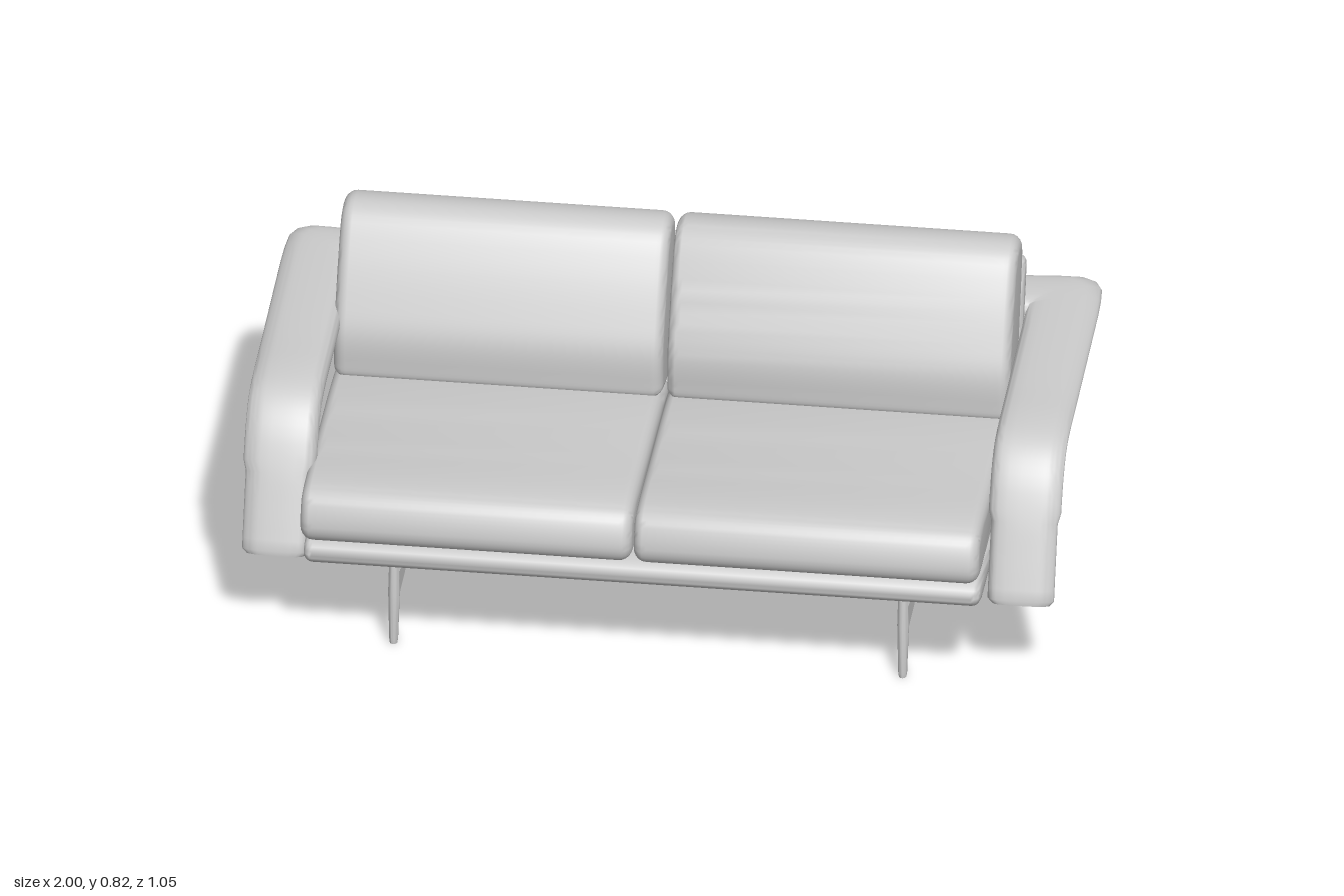
import * as THREE from 'three';
import { mergeVertices, toCreasedNormals } from 'three/addons/utils/BufferGeometryUtils.js';

const V = (x, y, z) => new THREE.Vector3(x, y, z);

// Closed smooth outline through a few points
function outline(points, n) {
  const c = new THREE.CatmullRomCurve3(points.map(([a, b]) => V(a, b, 0)), true, 'centripetal');
  return c.getPoints(n).slice(0, n);
}

// Soft slab: a (z, y) side profile extruded from x0 to x1 with rounded ends
function slab(profile, x0, x1, round) {
  const shape = new THREE.Shape(outline(profile, 64).map(p => new THREE.Vector2(p.x, p.y)));
  let g = new THREE.ExtrudeGeometry(shape, {
    depth: x1 - x0 - 2 * round, bevelEnabled: true, bevelSize: round,
    bevelThickness: round, bevelOffset: -round, bevelSegments: 5,
  });
  g.translate(0, 0, round - (x1 - x0));
  g.rotateY(-Math.PI / 2);
  g.translate(x0, 0, 0);
  g.deleteAttribute('normal');
  g.deleteAttribute('uv');
  return toCreasedNormals(mergeVertices(g, 1e-5), 0.8);
}

// Armrests and back rail: one band swept around the sofa
function bandGeometry() {
  const section = outline([[1, 0.3], [0.8, 0.75], [0.5, 1], [-0.75, 1], [-1, 0.5],
    [-1, -0.5], [-0.75, -1], [0.3, -1], [0.72, -0.55]], 36);
  const half = 0.087, thick = 0.037, inner = 0.826;
  const frames = [];
  const add = (c, o, n, s = 1) => frames.push({ c, o, n, s });

  // arm, from its front tip up and back
  const arm = new THREE.CatmullRomCurve3([[0.25, 0.418], [0.35, 0.378], [0.45, 0.335], [0.52, 0.293],
    [0.56, 0.245], [0.573, 0.185], [0.573, 0], [0.573, -0.36]].map(([y, z]) => V(inner + half, y, z)));
  for (let i = 0; i <= 28; i++) {
    const u = i / 28, t = arm.getTangent(u), c = arm.getPoint(u);
    const o = V(half * (i < 8 ? 0.92 : 1), 0, 0), n = V(0, -t.z, t.y);
    if (i === 0) {
      const tip = c.clone().addScaledVector(t, -0.012);
      add(tip, o, n, 0);
      add(tip, o, n, 0.86);
    }
    add(c, o, n);
  }
  // rounded back corner, fanned about the inner corner
  for (const [deg, len] of [[22, 0.093], [36, 0.104], [45, 0.108], [54, 0.104], [68, 0.09], [90, 0.08]]) {
    const a = deg * Math.PI / 180, o = V(Math.cos(a) * len, 0, -Math.sin(a) * len);
    add(V(inner, 0.573, -0.36).add(o), o, V(0, 1, 0));
  }
  // mirrored half
  const flip = v => V(-v.x, v.y, v.z);
  for (const f of frames.slice().reverse()) add(flip(f.c), flip(f.o), f.n, f.s);

  const pos = [], idx = [], m = section.length;
  for (const { c, o, n, s } of frames) {
    for (const p of section) {
      const q = c.clone().addScaledVector(o, p.x * s).addScaledVector(n, p.y * thick * s);
      pos.push(q.x, q.y, q.z);
    }
  }
  for (let i = 0; i < frames.length - 1; i++) {
    for (let j = 0; j < m; j++) {
      const a = i * m + j, b = i * m + (j + 1) % m;
      idx.push(a, a + m, b + m, a, b + m, b);
    }
  }
  const g = new THREE.BufferGeometry();
  g.setAttribute('position', new THREE.Float32BufferAttribute(pos, 3));
  g.setIndex(idx);
  return toCreasedNormals(g, 0.8);
}

export function createModel() {
  const group = new THREE.Group();
  group.name = 'sofa';
  const grey = new THREE.MeshStandardMaterial({ color: 0xcccccc });
  grey.name = 'light grey';

  const add = (name, geometry) => {
    const mesh = new THREE.Mesh(geometry, grey);
    mesh.name = name;
    group.add(mesh);
    return mesh;
  };

  // curved shell under the seat and behind the back
  add('seatShell', slab([[0.503, 0.29], [0.485, 0.262], [0.3, 0.246], [0, 0.231], [-0.13, 0.229],
    [-0.2, 0.247], [-0.255, 0.3], [-0.3, 0.39], [-0.36, 0.53], [-0.42, 0.68], [-0.418, 0.714],
    [-0.39, 0.723], [-0.363, 0.7], [-0.3, 0.54], [-0.24, 0.39], [-0.2, 0.33], [-0.14, 0.306],
    [0, 0.305], [0.3, 0.314], [0.485, 0.32]], -0.835, 0.82, 0.022));

  // two seat and two back cushions
  const seat = [[0.52, 0.37], [0.505, 0.338], [0.46, 0.325], [0.3, 0.318], [0, 0.308], [-0.15, 0.312],
    [-0.22, 0.35], [-0.25, 0.395], [-0.22, 0.415], [-0.1, 0.437], [0.2, 0.456], [0.44, 0.467],
    [0.485, 0.455], [0.51, 0.42]];
  const back = [[-0.095, 0.47], [-0.098, 0.55], [-0.13, 0.63], [-0.19, 0.74], [-0.245, 0.808],
    [-0.295, 0.823], [-0.36, 0.805], [-0.38, 0.77], [-0.368, 0.71], [-0.32, 0.57], [-0.262, 0.43],
    [-0.235, 0.405], [-0.13, 0.42], [-0.1, 0.435]];
  for (const [side, x0, x1] of [['right', -0.842, -0.031], ['left', -0.027, 0.818]]) {
    add(side + 'SeatCushion', slab(seat, x0, x1, 0.032));
    add(side + 'BackCushion', slab(back, x0 + 0.004, x1 - 0.002, 0.03));
  }

  add('armAndBackRail', bandGeometry());

  // tapered legs with side stretchers and mounting bolts
  const leg = (name, x, bottom, top, height, r) => {
    const profile = [[0, 0], [0.011, 0], [0.013, 0.012], [r, 0.14], [0.013, height], [0, height]];
    const g = new THREE.LatheGeometry(profile.map(p => new THREE.Vector2(...p)), 16);
    g.scale(0.85, 1, 1);
    const p = g.attributes.position;
    for (let i = 0; i < p.count; i++) p.setZ(i, p.getZ(i) + bottom + (top - bottom) * p.getY(i) / height);
    g.translate(x, 0, 0);
    add(name, toCreasedNormals(g, 0.8));
  };
  for (const [side, x] of [['right', -0.625], ['left', 0.62]]) {
    leg(side + 'FrontLeg', x, 0.406, 0.388, 0.29, 0.017);
    leg(side + 'BackLeg', x, -0.412, -0.372, 0.56, 0.02);
    add(side + 'SideStretcher', new THREE.BoxGeometry(0.018, 0.062, 0.79)).position.set(x, 0.142, 0);
    for (const z of [-0.015, -0.18]) {
      const bolt = add(side + 'Bolt', new THREE.CylinderGeometry(0.018, 0.012, 0.03, 14));
      bolt.position.set(x * 0.97, 0.226, z);
    }
  }

  // long crossbars between the two leg frames
  for (const [name, z] of [['middleCrossbar', -0.015], ['backCrossbar', -0.39]]) {
    const bar = add(name, new THREE.CylinderGeometry(0.008, 0.008, 1.245, 12));
    bar.rotation.z = Math.PI / 2;
    bar.position.set(-0.0025, 0.162, z);
  }
  return group;
}
